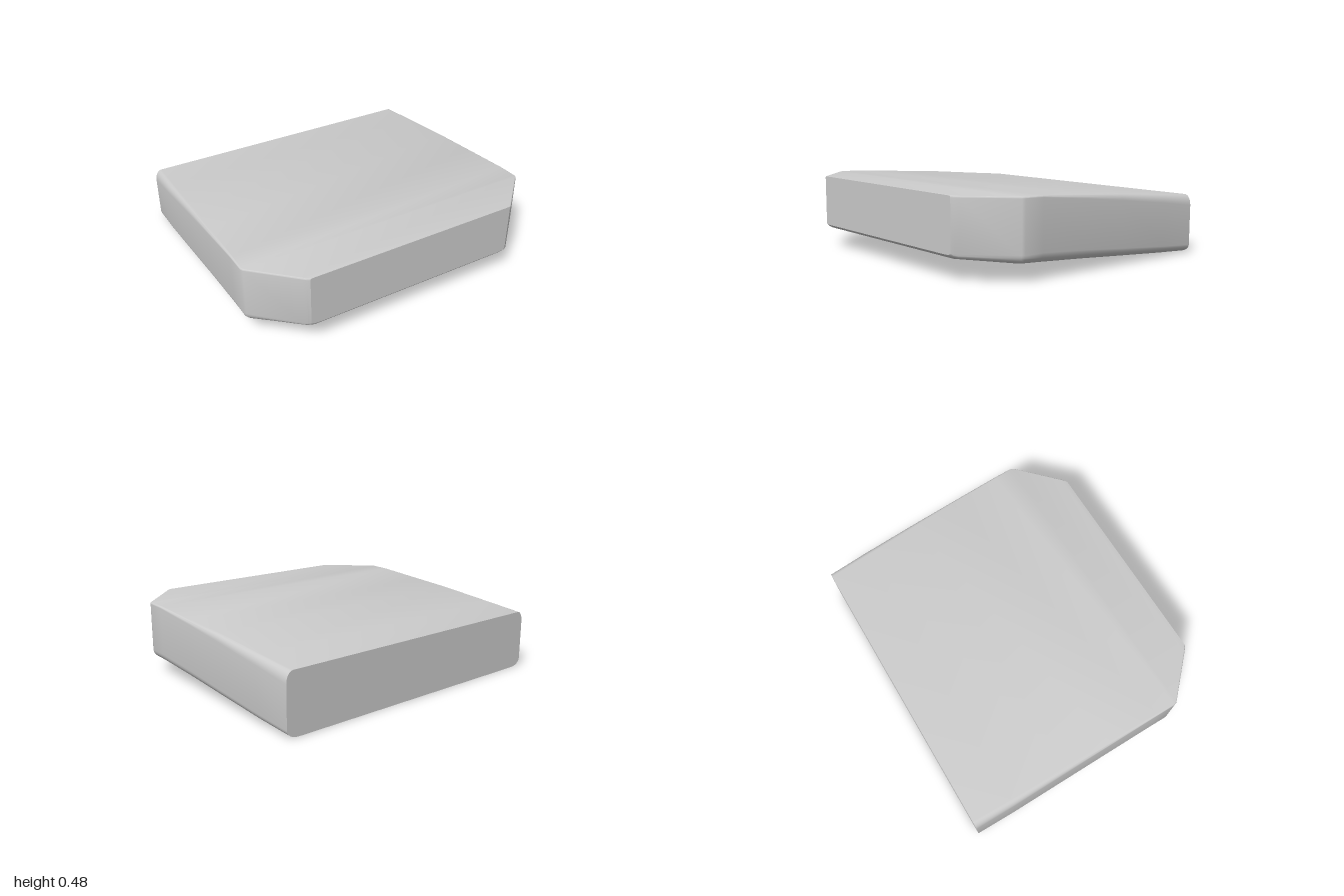
import * as THREE from 'three';
import { toCreasedNormals } from 'three/addons/utils/BufferGeometryUtils.js';

const STEPS = 6; // segments per rounded corner

// Cross-sections from back to front:
// z, half width, bottom, top, bottom corner (width, height), top corner (width, height)
const SECTIONS = [
  [-0.865, 0.995, 0.0, 0.38, 0.08, 0.05, 0.045, 0.07],
  [-0.6, 1.0, 0.02, 0.402, 0.07, 0.05, 0.04, 0.055],
  [-0.2, 1.0, 0.05, 0.437, 0.07, 0.055, 0.03, 0.04],
  [0.1, 1.0, 0.073, 0.455, 0.07, 0.06, 0.02, 0.025],
  [0.45, 1.0, 0.099, 0.477, 0.06, 0.06, 0.012, 0.012],
  [0.58, 1.0, 0.109, 0.479, 0.05, 0.05, 0.01, 0.01],
  [0.6, 0.992, 0.111, 0.479, 0.05, 0.05, 0.01, 0.01],
  [0.835, 0.748, 0.128, 0.479, 0.06, 0.03, 0.01, 0.01],
  [0.855, 0.727, 0.137, 0.479, 0.06, 0.022, 0.01, 0.01],
  [0.865, 0.71, 0.15, 0.479, 0.06, 0.012, 0.01, 0.01],
];

// Rounded outline of one section, counter-clockwise seen from the front
function outline([z, w, b, t, bw, bh, tw, th]) {
  const corners = [
    [w - bw, b + bh, bw, bh, -0.5],
    [w - tw, t - th, tw, th, 0],
    [tw - w, t - th, tw, th, 0.5],
    [bw - w, b + bh, bw, bh, 1],
  ];
  const points = [];
  for (const [cx, cy, rx, ry, start] of corners) {
    for (let i = 0; i <= STEPS; i++) {
      const a = Math.PI * (start + (0.5 * i) / STEPS);
      points.push([cx + rx * Math.cos(a), cy + ry * Math.sin(a), z]);
    }
  }
  return points;
}

// Skin the sections and close both ends
function loft(sections) {
  const rings = sections.map(outline);
  const n = rings[0].length;
  const positions = [];
  const triangle = (a, b, c) => positions.push(...a, ...b, ...c);
  for (let s = 0; s < rings.length - 1; s++) {
    for (let i = 0; i < n; i++) {
      const j = (i + 1) % n;
      const [back, front] = [rings[s], rings[s + 1]];
      triangle(back[i], back[j], front[j]);
      triangle(back[i], front[j], front[i]);
    }
  }
  const first = rings[0];
  const last = rings[rings.length - 1];
  for (let i = 1; i < n - 1; i++) {
    triangle(first[0], first[i + 1], first[i]);
    triangle(last[0], last[i], last[i + 1]);
  }
  const geometry = new THREE.BufferGeometry();
  geometry.setAttribute('position', new THREE.Float32BufferAttribute(positions, 3));
  return toCreasedNormals(geometry, 0.5);
}

export function createModel() {
  const group = new THREE.Group();
  group.name = 'wedgeBlock';

  // Tapering slab with chamfered front corners and softened long edges
  const body = new THREE.Mesh(
    loft(SECTIONS),
    new THREE.MeshStandardMaterial({ color: 0xcccccc })
  );
  body.name = 'body';
  group.add(body);
  return group;
}
